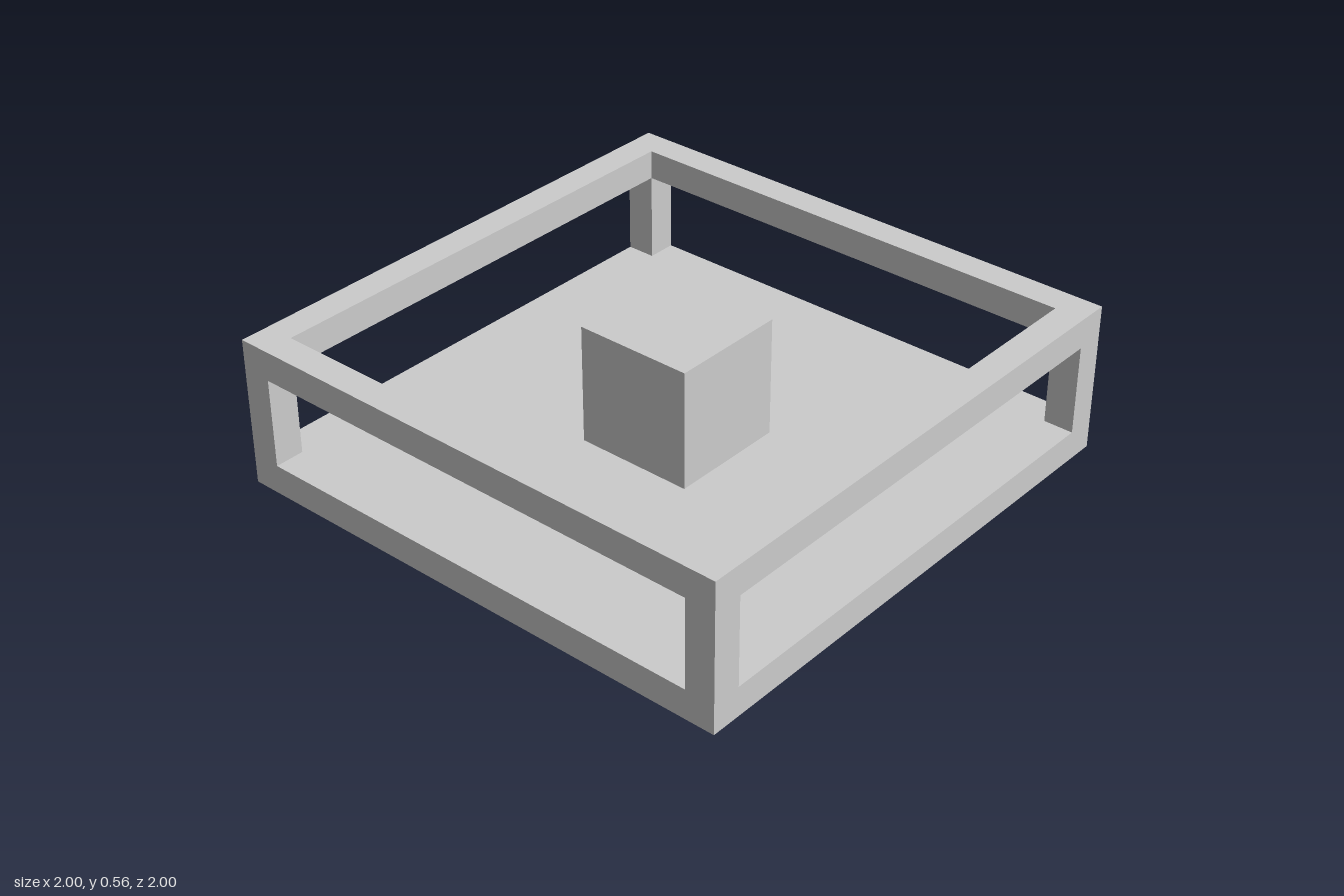
import * as THREE from 'three';

const U = 1 / 9; // bar thickness; every size is a multiple of it
const material = new THREE.MeshStandardMaterial({ color: 0xcccccc, flatShading: true });

function addBox(parent, name, [w, h, d], [x, y, z]) {
  const mesh = new THREE.Mesh(new THREE.BoxGeometry(w * U, h * U, d * U), material);
  mesh.name = name;
  mesh.position.set(x * U, y * U, z * U);
  parent.add(mesh);
}

function squarePath(PathType, half) {
  const path = new PathType();
  path.moveTo(-half, -half);
  path.lineTo(half, -half);
  path.lineTo(half, half);
  path.lineTo(-half, half);
  path.closePath();
  return path;
}

export function createModel() {
  const group = new THREE.Group();
  group.name = 'openFrameBox';

  // Solid floor slab
  addBox(group, 'floor', [18, 1, 18], [0, 0.5, 0]);

  // Corner posts between the floor and the top frame
  for (const sx of [-1, 1])
    for (const sz of [-1, 1])
      addBox(group, `${sz > 0 ? 'front' : 'back'}${sx > 0 ? 'Left' : 'Right'}Post`,
        [1, 3, 1], [sx * 8.5, 2.5, sz * 8.5]);

  // Square top frame with an open middle
  const shape = squarePath(THREE.Shape, 9 * U);
  shape.holes.push(squarePath(THREE.Path, 8 * U));
  const frameGeometry = new THREE.ExtrudeGeometry(shape, { depth: U, bevelEnabled: false });
  frameGeometry.rotateX(-Math.PI / 2);
  const frame = new THREE.Mesh(frameGeometry, material);
  frame.name = 'topFrame';
  frame.position.y = 4 * U;
  group.add(frame);

  // Cube standing in the middle, level with the top frame
  addBox(group, 'centreCube', [4, 4, 4], [0, 3, 0]);

  return group;
}
